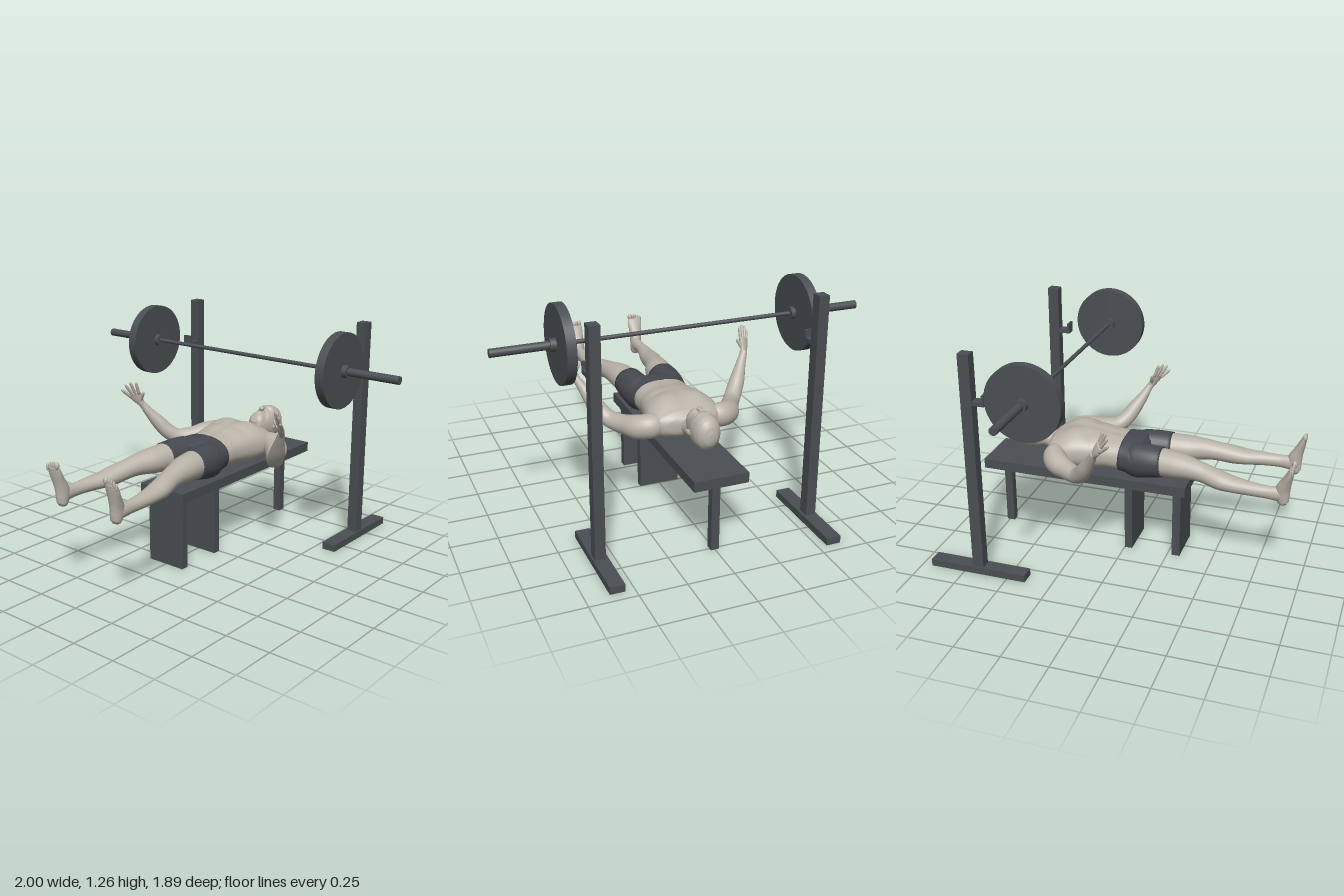
import * as THREE from 'three';

const material = (name, color) => Object.assign(new THREE.MeshStandardMaterial({ color }), { name });
const steel = material('dark steel', 0x4b4f53);
const skin = material('skin', 0xb9b3a8);
const cloth = material('shorts cloth', 0x464a50);

const gauss = (a, b = 0) => Math.exp(-a * a - b * b);

// Smooth closed loft through sections [x, y, z, radiusU, radiusV]; ref sets the direction of V
function loft(rows, { s = 1, ref = [0, 1, 0], steps = 5, sides = 24, power = 1, shape } = {}) {
  const centre = new THREE.CatmullRomCurve3(rows.map(r => new THREE.Vector3(r[0] * s, r[1], r[2])));
  const radius = new THREE.CatmullRomCurve3(rows.map(r => new THREE.Vector3(r[3], r[4], 0)));
  const up = new THREE.Vector3(ref[0] * s, ref[1], ref[2]);
  const n = (rows.length - 1) * steps, pos = [], index = [];
  const put = p => { if (shape) shape(p); pos.push(p.x, p.y, p.z); };
  const bend = v => Math.sign(v) * Math.abs(v) ** power;
  for (let i = 0; i <= n; i++) {
    const c = centre.getPoint(i / n), r = radius.getPoint(i / n), t = centre.getTangent(i / n);
    const u = new THREE.Vector3().crossVectors(up, t).normalize();
    const v = new THREE.Vector3().crossVectors(t, u);
    for (let j = 0; j < sides; j++) {
      const a = j / sides * Math.PI * 2;
      put(c.clone().addScaledVector(u, bend(Math.cos(a)) * r.x).addScaledVector(v, bend(Math.sin(a)) * r.y));
    }
  }
  put(centre.getPoint(0));
  put(centre.getPoint(1));
  const start = (n + 1) * sides;
  for (let j = 0; j < sides; j++) {
    const k = (j + 1) % sides;
    for (let i = 0; i < n; i++) {
      const a = i * sides, b = a + sides;
      index.push(a + j, a + k, b + k, a + j, b + k, b + j);
    }
    index.push(start, k, j, start + 1, n * sides + j, n * sides + k);
  }
  const g = new THREE.BufferGeometry();
  g.setAttribute('position', new THREE.Float32BufferAttribute(pos, 3));
  g.setIndex(index);
  g.computeVertexNormals();
  return g;
}

export function createModel() {
  const model = new THREE.Group();
  model.name = 'benchPress';
  const add = (parent, name, geometry, mat) => {
    const m = new THREE.Mesh(geometry, mat);
    m.name = name;
    parent.add(m);
    return m;
  };
  const group = name => {
    const g = new THREE.Group();
    g.name = name;
    model.add(g);
    return g;
  };
  // Box given by its limits on each axis
  const box = (parent, name, x0, x1, y0, y1, z0, z1) =>
    add(parent, name, new THREE.BoxGeometry(x1 - x0, y1 - y0, z1 - z0), steel)
      .position.set((x0 + x1) / 2, (y0 + y1) / 2, (z0 + z1) / 2);
  const ball = (parent, name, x, y, z, rx, ry, rz, mat = skin) => {
    const m = add(parent, name, new THREE.SphereGeometry(1, 16, 12), mat);
    m.position.set(x, y, z);
    m.scale.set(rx, ry, rz);
    return m;
  };

  // Bench
  const bench = group('bench');
  box(bench, 'benchPad', -0.147, 0.147, 0.39, 0.445, -0.83, 0.35);
  box(bench, 'frontPanelLeg', -0.115, 0.115, 0, 0.39, 0.275, 0.32);
  box(bench, 'middlePanelLeg', -0.115, 0.115, 0, 0.39, 0, 0.043);
  box(bench, 'rearPost', -0.022, 0.022, 0, 0.39, -0.767, -0.722);

  // Rack and barbell
  const rack = group('rack'), barbell = group('barbell');
  const rod = (name, x0, x1, r, sides = 24) => {
    const m = add(barbell, name, new THREE.CylinderGeometry(r, r, x1 - x0, sides), steel);
    m.rotation.z = Math.PI / 2;
    m.position.set((x0 + x1) / 2, 1.058, -0.338);
  };
  rod('bar', -0.62, 0.62, 0.011);
  for (const s of [-1, 1]) {
    const span = (a, b) => (s > 0 ? [a, b] : [-b, -a]);
    box(rack, 'rackFoot', ...span(0.548, 0.627), 0, 0.04, -0.945, -0.395);
    box(rack, 'upright', ...span(0.562, 0.618), 0.04, 1.26, -0.7, -0.638);
    box(rack, 'hookArm', ...span(0.562, 0.618), 0.99, 1.012, -0.638, -0.572);
    box(rack, 'hookLip', ...span(0.562, 0.618), 1.012, 1.05, -0.585, -0.572);
    rod('innerCollar', ...span(0.6, 0.626), 0.034);
    rod('weightPlate', ...span(0.624, 0.674), 0.203, 64);
    rod('outerCollar', ...span(0.674, 0.705), 0.034);
    rod('sleeve', ...span(0.67, 1), 0.022);
  }

  // Torso with chest, midline and belly relief on the upper side
  const body = group('lyingFigure');
  add(body, 'torso', loft([
    [0, 0.56, -0.455, 0.06, 0.04], [0, 0.56, -0.44, 0.13, 0.056], [0, 0.56, -0.415, 0.18, 0.075],
    [0, 0.56, -0.37, 0.2, 0.093], [0, 0.562, -0.31, 0.198, 0.107], [0, 0.563, -0.25, 0.186, 0.112],
    [0, 0.563, -0.18, 0.17, 0.106], [0, 0.56, -0.1, 0.156, 0.094], [0, 0.557, 0, 0.156, 0.092],
  ], {
    sides: 64, steps: 6, power: 0.85, shape: p => {
      if (p.y < 0.58) return;
      const ax = Math.abs(p.x);
      p.y += 0.013 * gauss((ax - 0.085) / 0.06, (p.z + 0.31) / 0.06);
      p.y -= 0.006 * gauss(p.x / 0.014) * gauss((p.z + 0.2) / 0.18);
      p.y -= 0.006 * gauss((ax - 0.09) / 0.05, (p.z + 0.215) / 0.022);
      p.y -= 0.008 * gauss(p.x / 0.008, (p.z + 0.055) / 0.01);
    },
  }), skin);

  // Neck and head
  add(body, 'neck', loft([
    [0, 0.555, -0.58, 0.05, 0.05], [0, 0.57, -0.5, 0.052, 0.05],
    [0, 0.56, -0.45, 0.062, 0.052], [0, 0.555, -0.4, 0.09, 0.06],
  ]), skin);
  add(body, 'head', loft([
    [0, 0.597, -0.699, 0.012, 0.018], [0, 0.597, -0.69, 0.038, 0.05], [0, 0.598, -0.668, 0.061, 0.08],
    [0, 0.6, -0.635, 0.071, 0.094], [0, 0.602, -0.6, 0.072, 0.096], [0, 0.604, -0.56, 0.066, 0.09],
    [0, 0.615, -0.52, 0.057, 0.074], [0, 0.64, -0.49, 0.043, 0.046], [0, 0.65, -0.474, 0.022, 0.024],
  ], {
    sides: 48, steps: 7, power: 0.95, shape: p => {
      if (p.y < 0.62) return;
      const ax = Math.abs(p.x);
      p.y -= 0.012 * gauss((ax - 0.028) / 0.016, (p.z + 0.582) / 0.013);
      p.y += 0.005 * gauss((ax - 0.026) / 0.02, (p.z + 0.604) / 0.009);
      p.y += 0.006 * gauss(p.x / 0.02, (p.z + 0.513) / 0.008);
      p.y -= 0.004 * gauss(p.x / 0.025, (p.z + 0.5) / 0.006);
    },
  }), skin);
  add(body, 'nose', loft([
    [0, 0.684, -0.598, 0.006, 0.006], [0, 0.69, -0.57, 0.009, 0.011],
    [0, 0.692, -0.545, 0.015, 0.014], [0, 0.688, -0.535, 0.01, 0.008],
  ], { sides: 14 }), skin);

  // Hips of the shorts
  add(body, 'shortsHips', loft([
    [0, 0.557, -0.03, 0.158, 0.097], [0, 0.555, 0, 0.164, 0.099], [0, 0.552, 0.05, 0.175, 0.1],
    [0, 0.552, 0.09, 0.165, 0.092], [0, 0.555, 0.115, 0.12, 0.06],
  ], { sides: 48, power: 0.85 }), cloth);

  for (const s of [-1, 1]) {
    ball(body, 'ear', s * 0.073, 0.59, -0.578, 0.008, 0.016, 0.026).rotation.y = s * 0.25;
    ball(body, 'eye', s * 0.028, 0.671, -0.581, 0.012, 0.009, 0.008);

    // Shorts leg, bare leg and foot
    add(body, 'shortsLeg', loft([
      [0.08, 0.55, 0.01, 0.076, 0.085], [0.09, 0.55, 0.07, 0.088, 0.098],
      [0.098, 0.557, 0.14, 0.087, 0.092], [0.101, 0.563, 0.215, 0.084, 0.083],
    ], { s, sides: 32 }), cloth);
    add(body, 'leg', loft([
      [0.1, 0.563, 0.19, 0.079, 0.078], [0.114, 0.565, 0.3, 0.076, 0.07], [0.132, 0.562, 0.39, 0.061, 0.058],
      [0.145, 0.553, 0.46, 0.056, 0.051], [0.164, 0.538, 0.54, 0.059, 0.05], [0.173, 0.53, 0.61, 0.054, 0.043],
      [0.186, 0.526, 0.71, 0.04, 0.037], [0.191, 0.523, 0.8, 0.031, 0.035], [0.19, 0.522, 0.86, 0.031, 0.04],
      [0.188, 0.52, 0.89, 0.028, 0.036],
    ], { s }), skin);
    add(body, 'foot', loft([
      [0.186, 0.463, 0.893, 0.012, 0.012], [0.186, 0.475, 0.888, 0.026, 0.028], [0.187, 0.51, 0.88, 0.031, 0.038],
      [0.189, 0.555, 0.882, 0.034, 0.038], [0.193, 0.6, 0.898, 0.038, 0.028], [0.196, 0.645, 0.914, 0.044, 0.019],
      [0.197, 0.677, 0.924, 0.042, 0.012],
    ], { s, ref: [0, 0, 1] }), skin);
    for (let i = 0; i < 5; i++) {
      const r = i ? 0.0085 - i * 0.0004 : 0.013;
      ball(body, 'toe', s * (0.168 + i * 0.0165 + (i ? 0.003 : 0)), 0.688 - i * i * 0.0012, 0.928, r, 0.02, r);
    }

    // Arm, bent up at the elbow
    add(body, 'arm', loft([
      [0.14, 0.558, -0.375, 0.045, 0.055], [0.2, 0.556, -0.373, 0.064, 0.066], [0.25, 0.546, -0.34, 0.065, 0.065],
      [0.3, 0.537, -0.265, 0.052, 0.053], [0.35, 0.541, -0.19, 0.046, 0.045], [0.385, 0.572, -0.15, 0.045, 0.044],
      [0.42, 0.622, -0.115, 0.041, 0.041], [0.46, 0.69, -0.072, 0.028, 0.028], [0.488, 0.74, -0.045, 0.021, 0.02],
      [0.495, 0.755, -0.035, 0.02, 0.018],
    ], { s }), skin);

    // Open hand with spread fingers
    const ref = [0.0072, 0.0034, -0.0088];
    add(body, 'palm', loft([
      [0.489, 0.742, -0.042, 0.018, 0.016], [0.499, 0.765, -0.028, 0.026, 0.016],
      [0.508, 0.792, -0.012, 0.035, 0.014], [0.513, 0.816, 0.002, 0.033, 0.01],
    ], { s, ref }), skin);
    const fingers = [
      ['indexFinger', [0.487, 0.82, -0.01], [0.487, 0.882, 0.012]],
      ['middleFinger', [0.505, 0.817, 0], [0.512, 0.884, 0.034]],
      ['ringFinger', [0.521, 0.808, 0.009], [0.535, 0.868, 0.05]],
      ['littleFinger', [0.534, 0.795, 0.015], [0.554, 0.838, 0.062]],
      ['thumb', [0.488, 0.768, -0.03], [0.456, 0.824, -0.02]],
    ];
    for (const [name, a, b] of fingers) {
      const at = (k, r) => [...a.map((v, i) => v + (b[i] - v) * k), r, r];
      add(body, name, loft([at(-0.2, 0.009), at(0.4, 0.0095), at(0.85, 0.008), at(1, 0.004)],
        { s, ref, sides: 10, steps: 3 }), skin);
    }
  }
  return model;
}
